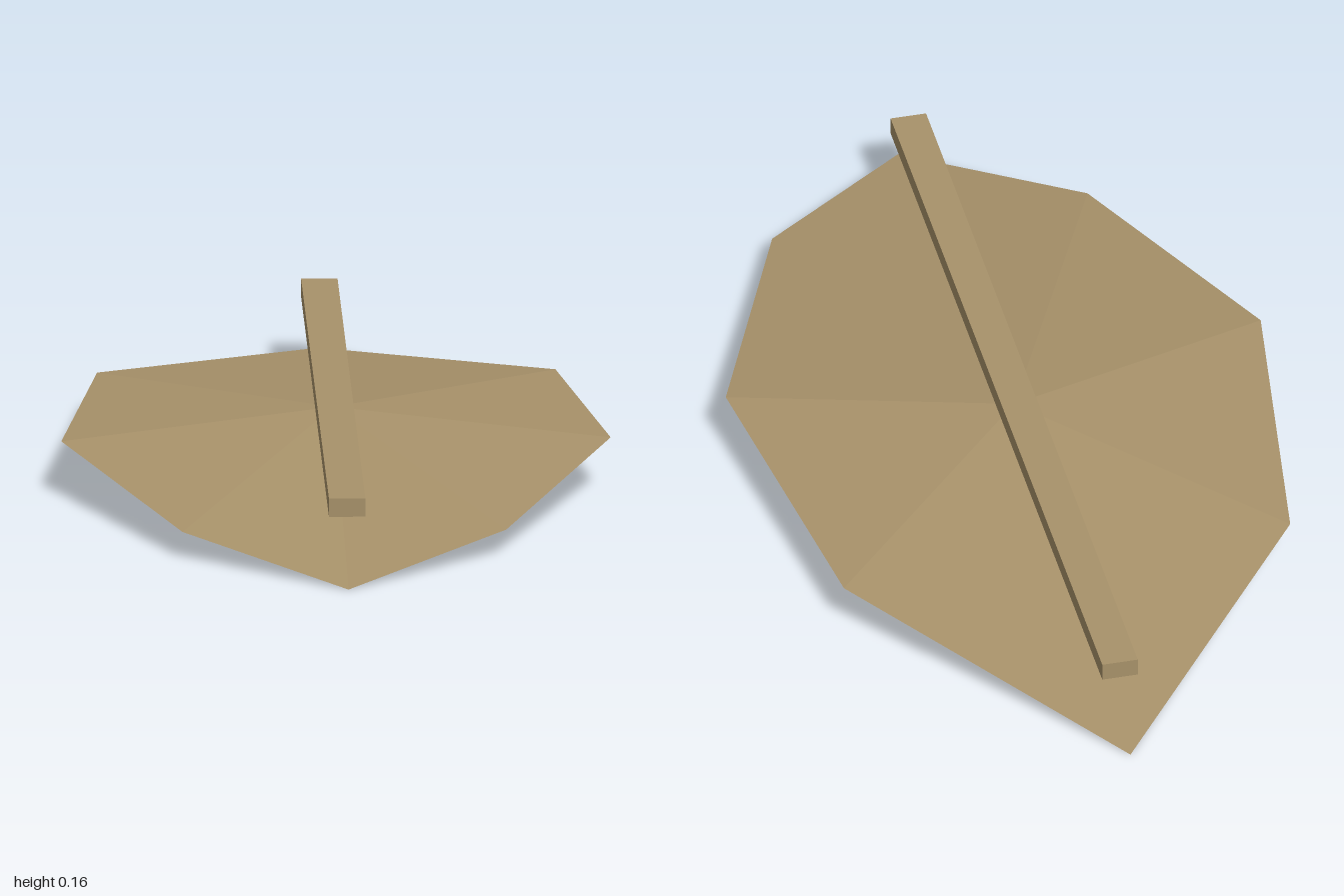
import * as THREE from 'three';

export function createModel() {
  const model = new THREE.Group();
  const tan = new THREE.MeshStandardMaterial({ color: 0xa8926a });
  tan.name = 'tan';
  const tanSheet = new THREE.MeshStandardMaterial({ color: 0xa8926a, side: THREE.DoubleSide, flatShading: true });
  tanSheet.name = 'tan sheet';

  // Thin domed canopy: a fan of facets from the apex to a pointed rim
  const half = [[0, 0.003, 1], [0.32, 0.055, 0.725], [0.543, 0.107, 0.18], [0.453, 0.09, -0.455], [0, 0.003, -1]];
  const mirrored = half.slice(1, -1).reverse().map(([x, y, z]) => [-x, y, z]);
  const rim = [...half, ...mirrored];
  const apex = [0, 0.129, 0];
  const positions = [];
  rim.forEach((p, i) => positions.push(...apex, ...p, ...rim[(i + 1) % rim.length]));
  const canopyGeometry = new THREE.BufferGeometry();
  canopyGeometry.setAttribute('position', new THREE.Float32BufferAttribute(positions, 3));
  canopyGeometry.computeVertexNormals();
  const canopy = new THREE.Mesh(canopyGeometry, tanSheet);
  canopy.name = 'canopy';
  model.add(canopy);

  // Straight ridge beam resting on the apex
  const beam = new THREE.Mesh(new THREE.BoxGeometry(0.072, 0.037, 1.82), tan);
  beam.name = 'ridgeBeam';
  beam.position.y = 0.1475;
  model.add(beam);

  return model;
}
